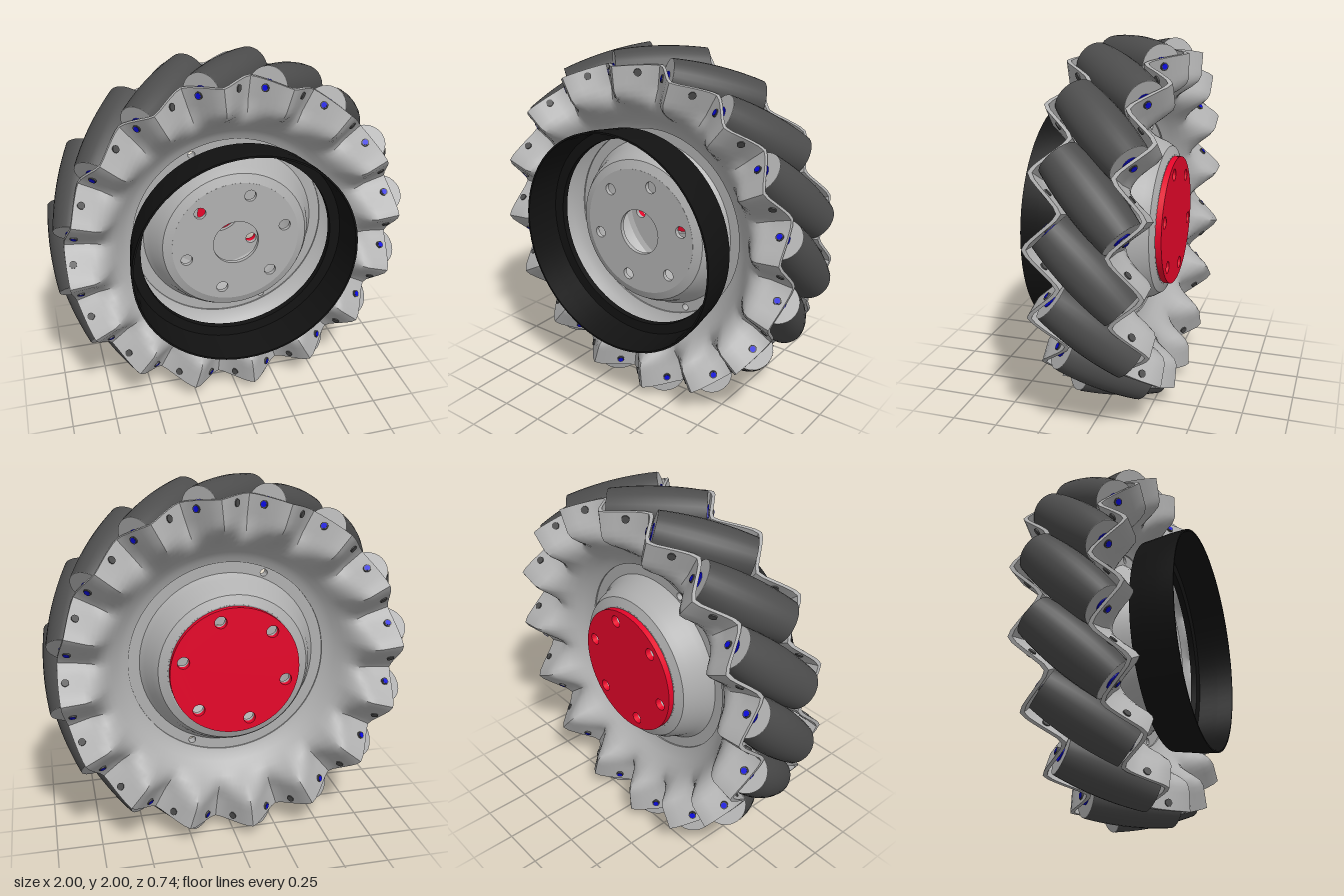
import * as THREE from 'three';
import { toCreasedNormals } from 'three/addons/utils/BufferGeometryUtils.js';

const COUNT = 16;                 // rollers around the wheel
const STEP = (Math.PI * 2) / COUNT;
const MID = -0.07;                // z of the roller mid plane
const AXLE_R = 0.87;              // radius of the roller axles

function material(name, color) {
  const m = new THREE.MeshStandardMaterial({ color });
  m.name = name;
  return m;
}

function mesh(name, geometry, mat) {
  const m = new THREE.Mesh(geometry, mat);
  m.name = name;
  return m;
}

// Closed profile of [radius, z] points turned around the z axis
function turned(points, segments = 64) {
  const pts = [...points, points[0]].map(([r, z]) => new THREE.Vector2(r, z));
  return toCreasedNormals(new THREE.LatheGeometry(pts, segments).rotateX(Math.PI / 2), 0.5);
}

// Rounded shoulder of the hub, rising by h from z0 (negative h faces the back)
function hubShoulder(z0, h) {
  const profile = [
    [0.44, -0.05], [0.49, 0], [0.465, 0.2], [0.435, 0.65], [0.41, 0.88], [0.36, 1],
    [0.36, 0.86], [0.39, 0.78], [0.41, 0.6], [0.435, 0.2],
  ].map(([r, f]) => [r, z0 + h * f]);
  return turned(h > 0 ? profile : profile.reverse());
}

// Flat disc between two z values, with round holes [x, y, radius]
function drilledDisc(radius, z0, z1, holes) {
  const shape = new THREE.Shape().absarc(0, 0, radius, 0, Math.PI * 2);
  for (const [x, y, r] of holes) {
    shape.holes.push(new THREE.Path().absarc(x, y, r, 0, Math.PI * 2, true));
  }
  const g = new THREE.ExtrudeGeometry(shape, { depth: z1 - z0, bevelEnabled: false, curveSegments: 32 });
  return toCreasedNormals(g.translate(0, 0, z0), 0.5);
}

// Pressed sheet with a zigzag rim: side 1 is the front, -1 the back
function flutedPlate(side) {
  const nA = COUNT * 12, radii = [], half = 0.012;
  for (let i = 0; i <= 12; i++) radii.push(0.55 + 0.383 * (i / 12));
  const height = (r, a) => {
    const base = -0.045 + 0.18 * THREE.MathUtils.smoothstep(r, 0.54, 0.79);
    const amp = 0.083 * THREE.MathUtils.smoothstep(r, 0.65, 0.81);
    const wave = Math.asin(0.94 * Math.cos(COUNT * (a - side * STEP / 4))) / Math.asin(0.94);
    const z = base + amp * wave;
    return side > 0 ? z : 2 * MID - z;
  };
  const loop = [...radii.map(r => [r, -half]), ...radii.slice().reverse().map(r => [r, half])];
  const n = loop.length, pos = [], idx = [];
  for (let j = 0; j < nA; j++) {
    const a = (j / nA) * Math.PI * 2;
    for (const [r, off] of loop) pos.push(r * Math.cos(a), r * Math.sin(a), height(r, a) + off);
    for (let i = 0; i < n; i++) {
      const k = (j + 1) % nA, l = (i + 1) % n;
      idx.push(j * n + i, k * n + i, k * n + l, j * n + i, k * n + l, j * n + l);
    }
  }
  const g = new THREE.BufferGeometry();
  g.setAttribute('position', new THREE.Float32BufferAttribute(pos, 3));
  g.setIndex(idx);
  return toCreasedNormals(g, 0.8);
}

export function createModel() {
  const steel = material('steel grey', 0xb0b0b0);
  const rubber = material('dark rubber', 0x4c4c4c);
  const black = material('black', 0x121212);
  const red = material('red', 0xe6062a);
  const blue = material('blue', 0x0808e0);

  const root = new THREE.Group();
  root.name = 'rollerWheel';
  const wheel = new THREE.Group();
  wheel.name = 'wheel';
  wheel.position.y = 1;
  root.add(wheel);

  // Fluted side plates
  wheel.add(mesh('frontPlate', flutedPlate(1), steel));
  wheel.add(mesh('backPlate', flutedPlate(-1), steel));

  // Hollow hub: web with two small holes, a raised drilled face on each side, back cap
  const polar = (r, deg, size) => {
    const a = THREE.MathUtils.degToRad(deg);
    return [r * Math.cos(a), r * Math.sin(a), size];
  };
  const bolts = [0, 1, 2, 3, 4, 5].map(i => polar(0.29, 14 + 60 * i, 0.033));
  const faceHoles = [[0, 0, 0.13], ...bolts];
  wheel.add(mesh('hubWeb', drilledDisc(0.57, -0.1, -0.04,
    [[0, 0, 0.44], polar(0.52, 113, 0.02), polar(0.52, -67, 0.02)]), steel));
  wheel.add(mesh('frontHubShoulder', hubShoulder(-0.04, 0.17), steel));
  wheel.add(mesh('frontHubFace', drilledDisc(0.362, 0.106, 0.13, faceHoles), steel));
  wheel.add(mesh('backHubShoulder', hubShoulder(-0.1, -0.17), steel));
  wheel.add(mesh('backHubFace', drilledDisc(0.362, -0.27, -0.246, faceHoles), steel));
  wheel.add(mesh('hubCap', drilledDisc(0.355, -0.302, -0.27, bolts), red));

  // Front collar: thin flared shell with an inner flange at its base
  wheel.add(mesh('collar', turned([
    [0.54, 0.13], [0.592, 0.13], [0.602, 0.2], [0.615, 0.28], [0.622, 0.37],
    [0.612, 0.37], [0.605, 0.28], [0.596, 0.17], [0.54, 0.165],
  ]), black));

  // Barrel roller whose outline follows the wheel's outer circle
  const barrel = [];
  for (let i = 0; i <= 10; i++) {
    const t = -0.25 + 0.05 * i;
    barrel.push(new THREE.Vector2(1 - Math.hypot(AXLE_R, t * Math.SQRT1_2), t));
  }
  const rod = (r, length) => new THREE.CylinderGeometry(r, r, length, 20);
  const parts = [
    ['rollerTread', new THREE.LatheGeometry(barrel, 28), rubber],
    ['rollerCore', new THREE.CylinderGeometry(0.111, 0.111, 0.502, 28), steel],
    ['washer', rod(0.045, 0.512), blue],
    ['boltHole', rod(0.021, 0.564), rubber],
    ['axlePin', rod(0.015, 0.568), blue],
  ];
  const spareGeometry = rod(0.02, 0.03);

  for (let k = 0; k < COUNT; k++) {
    const station = new THREE.Group();
    station.name = 'rollerStation';
    station.rotation.z = k * STEP;
    const roller = new THREE.Group();
    roller.name = 'roller';
    roller.position.set(AXLE_R, 0, MID);
    roller.rotation.x = Math.PI / 4;
    for (const [name, geometry, mat] of parts) roller.add(mesh(name, geometry, mat));
    station.add(roller);
    // Spare holes on the opposite flanks of both plates
    for (const side of [1, -1]) {
      const hole = mesh('spareHole', spareGeometry, rubber);
      hole.position.set(0.895, 0, MID + side * 0.205);
      hole.rotation.x = -Math.PI / 4;
      station.add(hole);
    }
    wheel.add(station);
  }
  return root;
}
